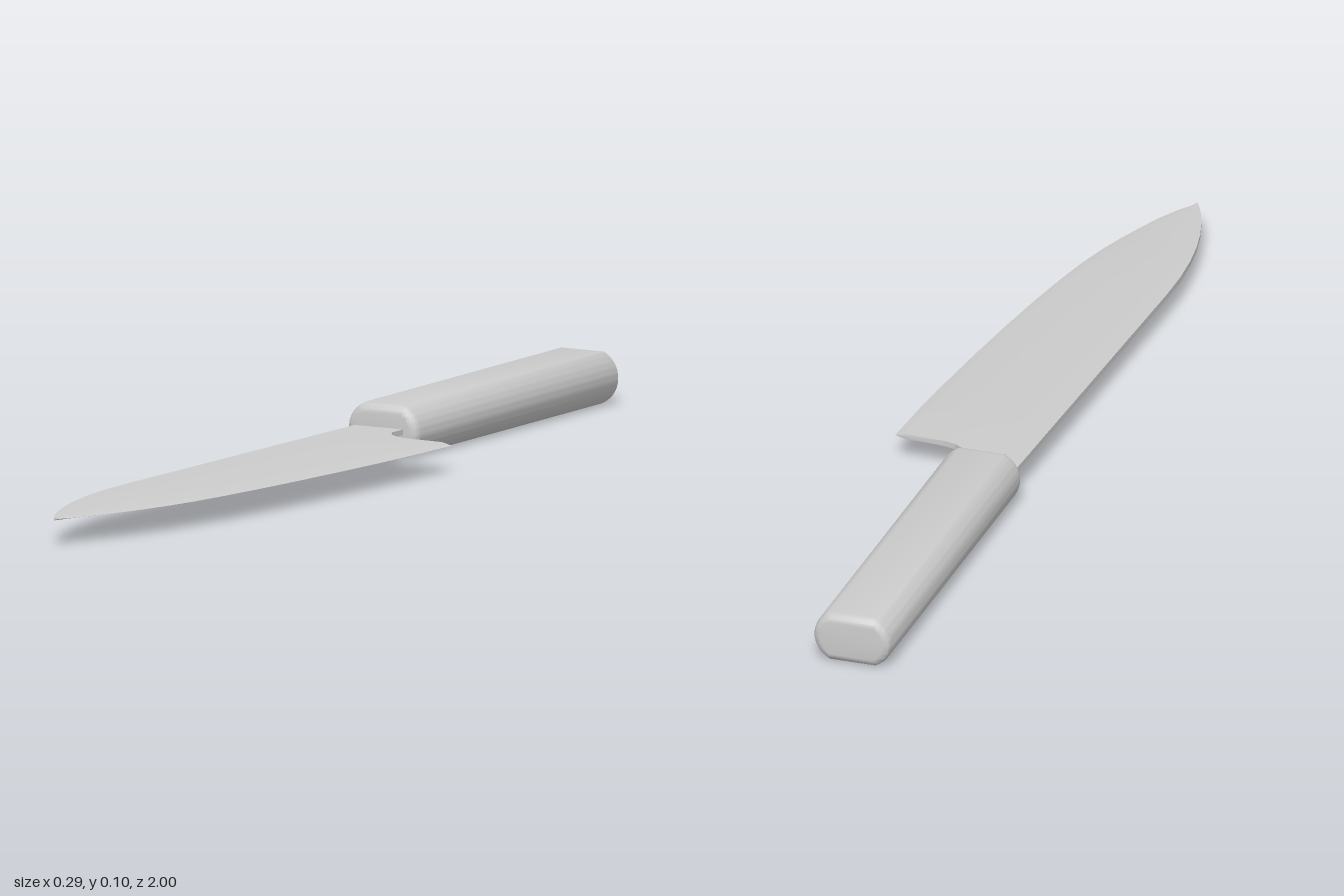
import * as THREE from 'three';
import { toCreasedNormals } from 'three/addons/utils/BufferGeometryUtils.js';

const MID_Y = 0.051; // height of the blade's middle plane
const HALF = 0.0055; // half thickness of the blade

// Handle: flat top and bottom, bowed sides, rounded ends
function handleGeometry() {
  const flat = 0.045, radius = 0.0544, arc = Math.asin(0.05 / radius);
  const centre = 0.078 - radius;
  const shape = new THREE.Shape();
  shape.moveTo(-flat, -0.05);
  shape.lineTo(flat, -0.05);
  shape.absarc(centre, 0, radius, -arc, arc, false);
  shape.lineTo(-flat, 0.05);
  shape.absarc(-centre, 0, radius, Math.PI - arc, Math.PI + arc, false);
  const bevel = 0.018;
  const geometry = new THREE.ExtrudeGeometry(shape, {
    depth: 0.776 - 2 * bevel, curveSegments: 10,
    bevelThickness: bevel, bevelSize: 0.016, bevelOffset: -0.016, bevelSegments: 4,
  });
  geometry.translate(-0.064, 0.05, -1 + bevel);
  return toCreasedNormals(geometry, 0.6);
}

// Blade: cross-sections along z, each [z, spine x, edge x]
function bladeGeometry() {
  const neck = [
    [-0.3, -0.12, -0.016], [-0.185, -0.123, -0.016], [-0.168, -0.124, -0.009],
    [-0.153, -0.124, 0.005], [-0.142, -0.125, 0.022], [-0.136, -0.125, 0.045],
  ];
  const body = [
    [-0.132, -0.125, 0.146], [0, -0.129, 0.139], [0.12, -0.133, 0.129], [0.25, -0.137, 0.116],
    [0.38, -0.141, 0.101], [0.5, -0.145, 0.085], [0.6, -0.148, 0.069], [0.68, -0.148, 0.054],
    [0.75, -0.143, 0.037], [0.81, -0.135, 0.018], [0.87, -0.122, -0.004],
    [0.92, -0.107, -0.024], [0.96, -0.092, -0.045], [0.985, -0.08, -0.062], [1, -0.072, -0.071],
  ];
  const ring = ([z, spine, edge], sharp) => {
    const t = HALF * (z > 0.7 ? 1 - 0.6 * (z - 0.7) / 0.3 : 1);
    const bevel = edge - Math.min(0.022, (edge - spine) * 0.3);
    const e = sharp ? 0.0002 : t;
    return [[spine, t], [spine, -t], [bevel, -t], [edge, -e], [edge, e], [bevel, t]]
      .map(([x, y]) => [x, MID_Y + y, z]);
  };
  const rings = [...neck.map((s) => ring(s, false)), ...body.map((s) => ring(s, true))];
  const n = 6, index = [];
  for (let i = 0; i < rings.length - 1; i++) {
    for (let j = 0; j < n; j++) {
      const a = i * n + j, b = i * n + (j + 1) % n;
      index.push(a, b, b + n, a, b + n, a + n);
    }
  }
  // Close both ends
  const last = (rings.length - 1) * n;
  for (let j = 1; j < n - 1; j++) {
    index.push(0, j + 1, j, last, last + j, last + j + 1);
  }
  const geometry = new THREE.BufferGeometry();
  geometry.setAttribute('position', new THREE.Float32BufferAttribute(rings.flat(2), 3));
  geometry.setIndex(index);
  return toCreasedNormals(geometry, 0.25);
}

export function createModel() {
  const group = new THREE.Group();
  group.name = 'kitchenKnife';
  const material = new THREE.MeshStandardMaterial({ color: 0xcccccc });
  const parts = { handle: handleGeometry(), blade: bladeGeometry() };
  for (const [name, geometry] of Object.entries(parts)) {
    const mesh = new THREE.Mesh(geometry, material);
    mesh.name = name;
    group.add(mesh);
  }
  return group;
}
